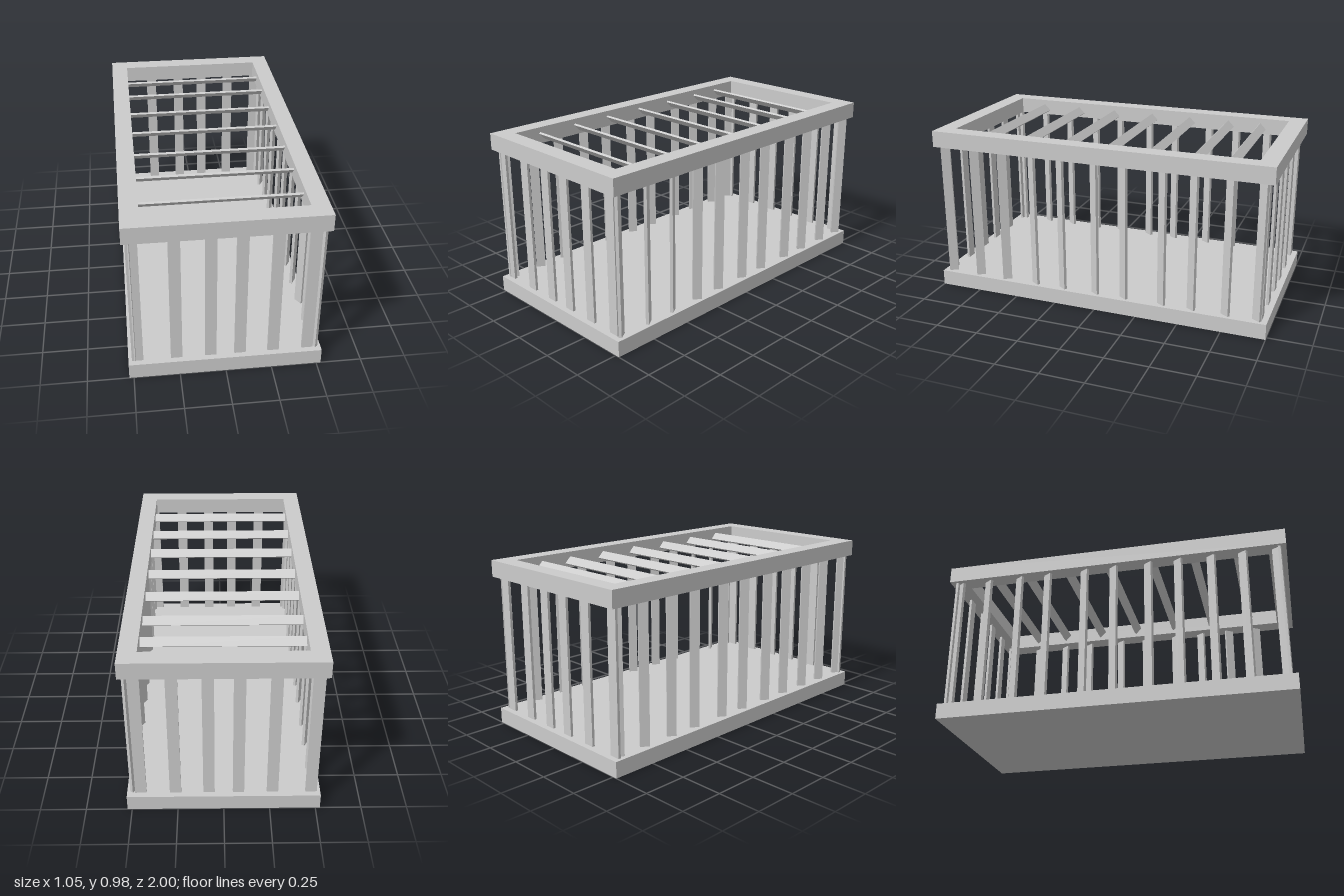
import * as THREE from 'three';

const material = new THREE.MeshStandardMaterial({ color: 0xcccccc, flatShading: true });

const BASE_TOP = 0.09;
const FRAME_BOTTOM = 0.88;
const FRAME_TOP = 0.975;
const HALF_X = 0.525;
const HALF_Z = 1;

function box(name, w, h, d, x, y, z) {
  const mesh = new THREE.Mesh(new THREE.BoxGeometry(w, h, d), material);
  mesh.name = name;
  mesh.position.set(x, y, z);
  return mesh;
}

// Rectangular ring with one wide opening, lying flat
function topFrame() {
  const shape = new THREE.Shape();
  shape.moveTo(-HALF_X, -HALF_Z).lineTo(HALF_X, -HALF_Z).lineTo(HALF_X, HALF_Z).lineTo(-HALF_X, HALF_Z).closePath();
  const hole = new THREE.Path();
  hole.moveTo(-0.427, -0.9).lineTo(-0.427, 0.9).lineTo(0.427, 0.9).lineTo(0.427, -0.9).closePath();
  shape.holes.push(hole);
  const geometry = new THREE.ExtrudeGeometry(shape, { depth: FRAME_TOP - FRAME_BOTTOM, bevelEnabled: false });
  geometry.rotateX(-Math.PI / 2);
  const mesh = new THREE.Mesh(geometry, material);
  mesh.name = 'topFrame';
  mesh.position.y = FRAME_BOTTOM;
  return mesh;
}

export function createModel() {
  const cage = new THREE.Group();
  cage.name = 'cage';

  // Solid floor and open top frame
  cage.add(box('floor', 2 * HALF_X, BASE_TOP, 2 * HALF_Z, 0, BASE_TOP / 2, 0), topFrame());

  const slatHeight = FRAME_BOTTOM - BASE_TOP;
  const slatY = (FRAME_BOTTOM + BASE_TOP) / 2;

  // Flat upright slats on the front and back
  for (const [name, z] of [['frontSlat', 0.96], ['backSlat', -0.96]]) {
    for (const x of [-0.475, -0.265, -0.08, 0.08, 0.262, 0.45]) {
      cage.add(box(name, 0.062, slatHeight, 0.015, x, slatY, z));
    }
  }

  // Twisted upright slats on the long sides; three on the left turn the other way
  const sideZ = [0.945, 0.755, 0.575, 0.385, 0.21, 0.005, -0.17, -0.395, -0.57, -0.765, -0.94];
  sideZ.forEach((z, i) => {
    const left = box('leftSlat', 0.017, slatHeight, 0.053, 0.487, slatY, z);
    left.rotation.y = i < 3 ? 0.56 : -0.56;
    const right = box('rightSlat', 0.017, slatHeight, 0.053, -0.48, slatY, z);
    right.rotation.y = -0.56;
    cage.add(left, right);
  });

  // Tilted cross slats inside the top frame
  for (const z of [-0.74, -0.54, -0.29, -0.04, 0.22, 0.47, 0.72]) {
    const slat = box('roofSlat', 0.87, 0.012, 0.052, 0, 0.924, z);
    slat.rotation.x = -0.8;
    cage.add(slat);
  }

  return cage;
}
